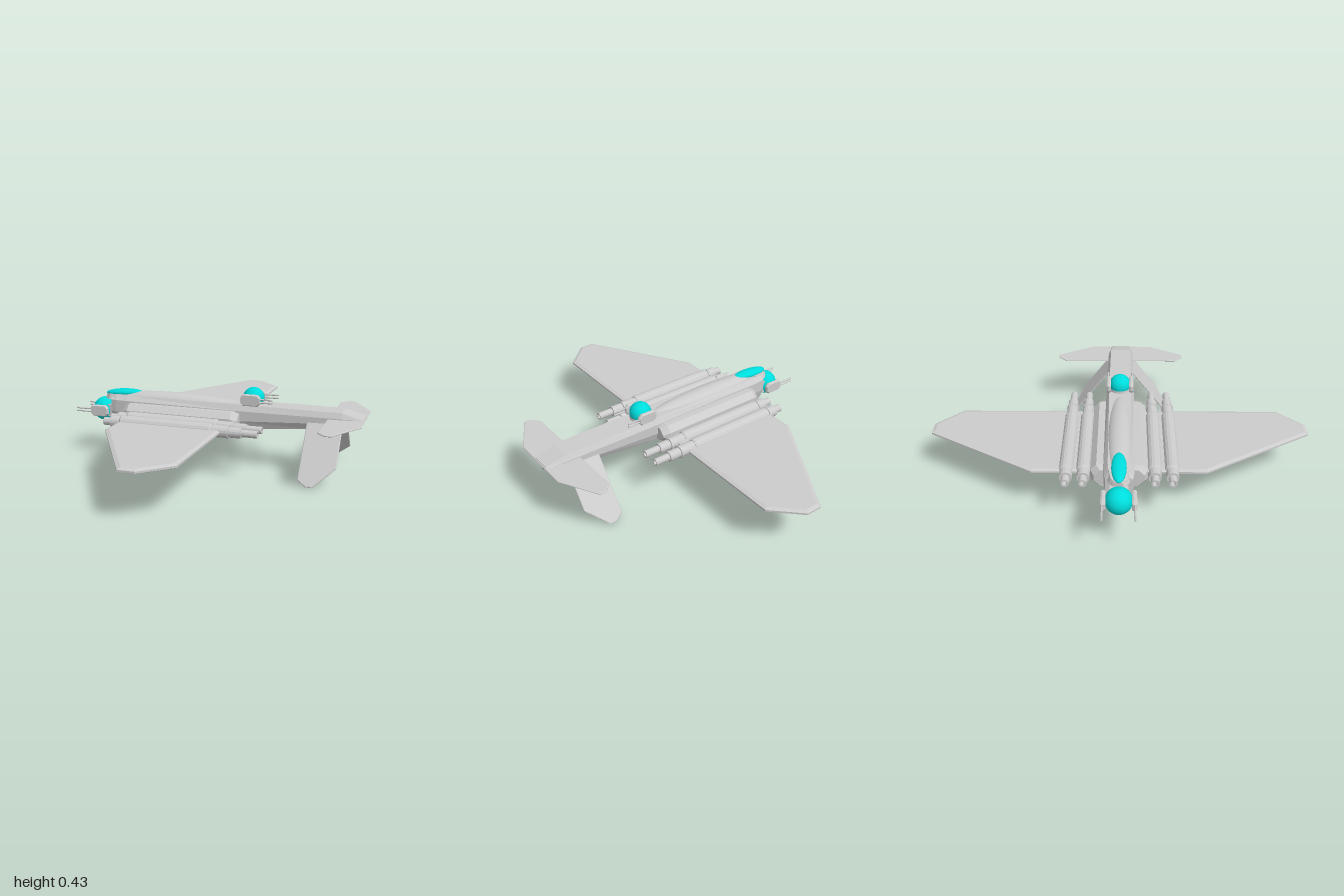
import * as THREE from 'three';

const grey = new THREE.MeshStandardMaterial({ color: 0xcccccc, flatShading: true });
const smoothGrey = new THREE.MeshStandardMaterial({ color: 0xcccccc });
const glass = new THREE.MeshStandardMaterial({ color: 0x00dddd });

// Skin a list of [x, ring of [z, y]] stations, closed at both ends
function loft(stations) {
  const n = stations[0][1].length, pos = [], idx = [];
  for (const [x, ring] of stations) for (const [z, y] of ring) pos.push(x, y, z);
  for (let s = 0; s < stations.length - 1; s++) {
    for (let i = 0; i < n; i++) {
      const j = (i + 1) % n, a = s * n + i, b = s * n + j;
      idx.push(a, b, b + n, a, b + n, a + n);
    }
  }
  const last = (stations.length - 1) * n;
  for (let i = 1; i < n - 1; i++) idx.push(0, i + 1, i, last, last + i, last + i + 1);
  const g = new THREE.BufferGeometry();
  g.setAttribute('position', new THREE.Float32BufferAttribute(pos, 3));
  g.setIndex(idx);
  const flat = g.toNonIndexed();
  flat.computeVertexNormals();
  return flat;
}

// Thin plate with chamfered rim, outline in x and span, centred on its thickness
function plate(points, thickness, rim) {
  const bevel = thickness * 0.3, depth = thickness - 2 * bevel;
  const g = new THREE.ExtrudeGeometry(new THREE.Shape(points.map(p => new THREE.Vector2(...p))), {
    depth, bevelEnabled: true, bevelThickness: bevel, bevelSize: rim, bevelOffset: -rim, bevelSegments: 1,
  });
  return g.translate(0, 0, -depth / 2);
}

// Outline mirrored across the span axis
const bothSides = half => [...half, ...half.slice().reverse().map(([x, z]) => [x, -z])];

// Turned part along x from [x, radius] pairs
function turned(profile, sides) {
  const pts = profile.map(([x, r]) => new THREE.Vector2(r, x));
  return new THREE.LatheGeometry(pts, sides).rotateZ(-Math.PI / 2);
}

export function createModel() {
  const model = new THREE.Group();
  model.name = 'aircraft';
  const add = (name, geometry, material = grey, parent = model) => {
    const mesh = new THREE.Mesh(geometry, material);
    mesh.name = name;
    parent.add(mesh);
    return mesh;
  };

  // Fuselage: x, top, shoulder, chine, bottom heights, then top, middle, bottom half-widths
  const hull = [
    [-0.60, 0.33, 0.315, 0.25, 0.20, 0.045, 0.065, 0.05],
    [-0.57, 0.338, 0.315, 0.25, 0.177, 0.05, 0.072, 0.052],
    [-0.50, 0.342, 0.315, 0.25, 0.153, 0.055, 0.077, 0.058],
    [0.15, 0.342, 0.31, 0.255, 0.209, 0.06, 0.077, 0.06],
    [0.52, 0.34, 0.31, 0.275, 0.242, 0.06, 0.075, 0.058],
    [0.69, 0.339, 0.31, 0.29, 0.268, 0.058, 0.073, 0.055],
    [0.80, 0.31, 0.303, 0.297, 0.291, 0.05, 0.056, 0.05],
  ].map(([x, t, s, c, b, wt, wm, wb]) =>
    [x, [[-wt, t], [wt, t], [wm, s], [wm, c], [wb, b], [-wb, b], [-wm, c], [-wm, s]]]);
  add('fuselage', loft(hull));

  // Brow over the nose turret
  add('noseBrow', loft([[-0.65, 0.015, 0.333], [-0.62, 0.04, 0.338], [-0.55, 0.05, 0.342]].map(([x, w, t]) =>
    [x, [[-w, t], [w, t], [w + 0.012, 0.312], [-w - 0.012, 0.312]]])));

  // Dorsal spine and canopy
  const spine = new THREE.SphereGeometry(1, 32, 20).scale(0.41, 0.047, 0.062);
  add('dorsalSpine', spine, smoothGrey).position.set(-0.24, 0.32, 0);
  const canopy = add('canopy', new THREE.SphereGeometry(1, 32, 16).scale(0.112, 0.022, 0.037), glass);
  canopy.position.set(-0.545, 0.346, 0);
  canopy.rotation.z = 0.06;

  // Side sponsons
  for (const side of [1, -1]) {
    const ring = (w, t, b) => {
      const r = [[0.05, t], [w - 0.03, t], [w, t - 0.03], [w, b + 0.035], [w - 0.035, b], [0.05, b]];
      return side > 0 ? r : r.map(([z, y]) => [-z, y]).reverse();
    };
    add(side > 0 ? 'leftSponson' : 'rightSponson', loft([
      [-0.50, ring(0.125, 0.295, 0.20)],
      [-0.47, ring(0.142, 0.308, 0.19)],
      [0.12, ring(0.142, 0.308, 0.212)],
      [0.155, ring(0.125, 0.295, 0.22)],
    ]));
  }

  // Main wing and tailplane, each one plate from tip to tip
  const wing = [[-0.45, 0.435], [-0.105, 1], [-0.02, 1], [0.118, 0.865]];
  add('wing', plate(bothSides(wing), 0.024, 0.018).rotateX(Math.PI / 2)).position.y = 0.245;
  const tail = [[0.62, 0.33], [0.66, 0.375], [0.695, 0.375], [0.806, 0.175]];
  add('tailplane', plate(bothSides(tail), 0.008, 0.004).rotateX(Math.PI / 2)).position.y = 0.301;

  // Splayed ventral fins
  const fin = [[0.515, 0], [0.70, 0], [0.70, 0.24], [0.595, 0.352], [0.56, 0.352], [0.515, 0.32]];
  for (const side of [1, -1]) {
    const mesh = add(side > 0 ? 'leftFin' : 'rightFin', plate(fin, 0.009, 0.004));
    mesh.position.set(0, 0.283, side * 0.067);
    mesh.rotation.x = side * (Math.PI - 0.655);
  }

  // Long stepped cannons with open bores at both ends
  const barrel = turned([
    [-0.46, 0.001], [-0.46, 0.013], [-0.54, 0.013], [-0.54, 0.021], [-0.495, 0.021], [-0.495, 0.032],
    [-0.445, 0.032], [-0.445, 0.028], [-0.435, 0.038], [0.06, 0.038], [0.07, 0.034], [0.07, 0.031],
    [0.15, 0.031], [0.15, 0.034], [0.16, 0.034], [0.16, 0.027], [0.225, 0.027], [0.225, 0.019],
    [0.308, 0.019], [0.308, 0.012], [0.24, 0.012], [0.24, 0.001],
  ], 16);
  for (const z of [0.177, 0.263, -0.177, -0.263]) {
    add(z > 0 ? 'leftCannon' : 'rightCannon', barrel).position.set(0, 0.245, z);
  }

  // Ball turrets: glass dome, side cheeks and paired guns; guns point along dir
  function turret(name, x, y, radius, dir, cheekZ, cheekHeight, cheekY, reach) {
    const group = new THREE.Group();
    group.name = name;
    group.position.set(x, y, 0);
    model.add(group);
    add('dome', new THREE.SphereGeometry(radius, 32, 20), glass, group);
    const w = 0.054, h = cheekHeight / 2, c = 0.016;
    const outline = [[-w, -h + c], [-w + c, -h], [w - c, -h], [w, -h + c], [w, h - c], [w - c, h], [-w + c, h], [-w, h - c]];
    for (const side of [1, -1]) {
      add('cheek', plate(outline, 0.024, 0.005), grey, group).position.set(0, cheekY, side * cheekZ);
      for (const dy of [-0.008, 0.008]) {
        const gun = new THREE.CylinderGeometry(0.0045, 0.0045, reach, 8).rotateZ(Math.PI / 2);
        add('gun', gun, grey, group).position.set(dir * reach / 2, cheekY + dy, side * (cheekZ + 0.004));
      }
    }
    return group;
  }
  const nose = turret('noseTurret', -0.67, 0.245, 0.067, -1, 0.074, 0.064, 0.002, 0.14);
  const top = turret('dorsalTurret', 0.21, 0.37, 0.058, 1, 0.062, 0.062, 0, 0.12);

  // Turret mounts
  add('neck', new THREE.BoxGeometry(0.07, 0.07, 0.09), grey, nose).position.set(0.055, 0, 0);
  add('ring', new THREE.CylinderGeometry(0.056, 0.06, 0.035, 24), grey, top).position.y = -0.03;

  return model;
}
